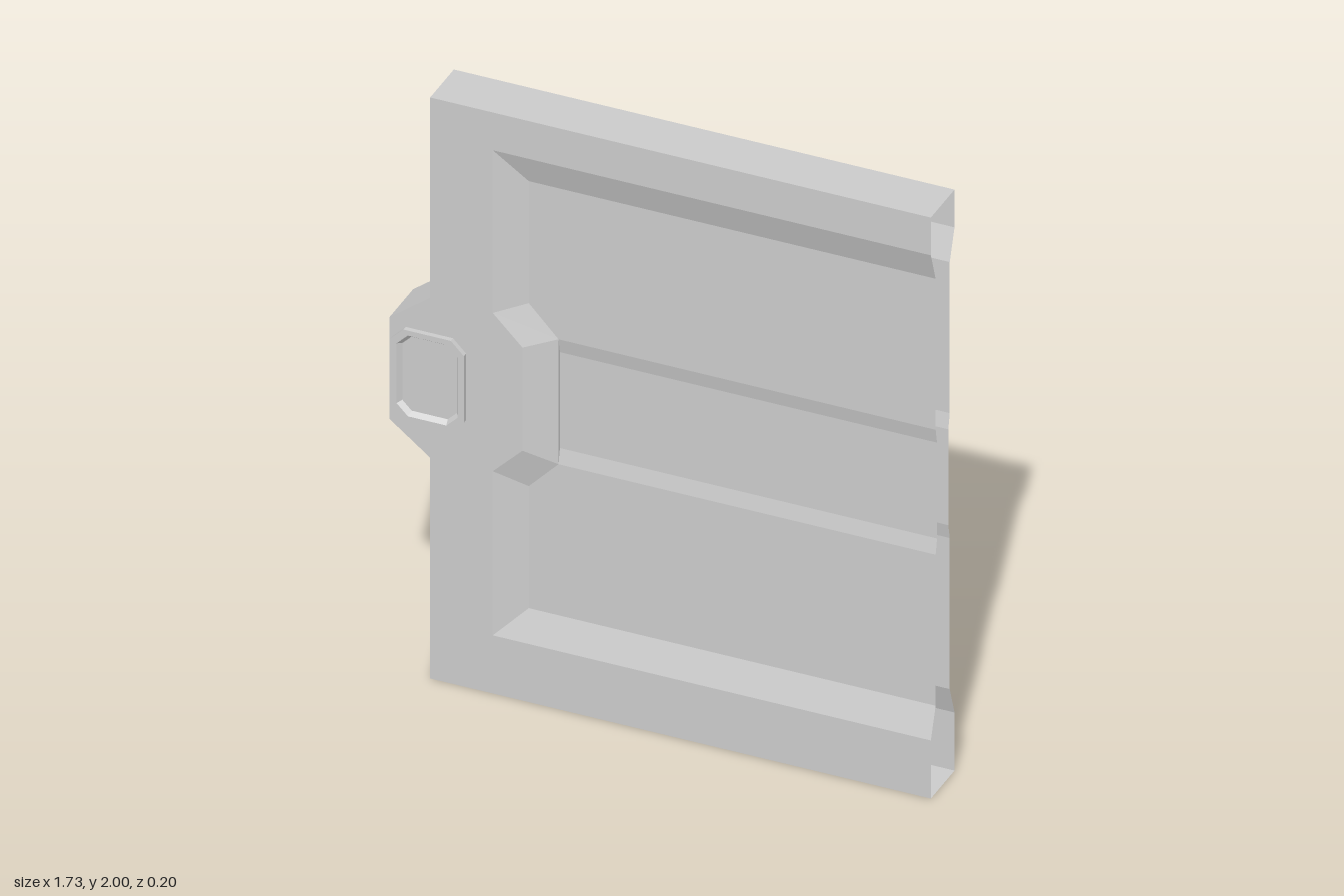
import * as THREE from 'three';

const material = new THREE.MeshStandardMaterial({ color: 0xcccccc, side: THREE.DoubleSide, flatShading: true });
const R = 0.865, OUT = 0.084, IN = 0.05, BAND = 0.04, BOSS = 0.1;

const lift = (points, z) => points.map(([x, y]) => [x, y, z]);

// Flat polygon, listed counter-clockwise as seen from +z
function fill(points, z) {
  const faces = THREE.ShapeUtils.triangulateShape(points.map(([x, y]) => new THREE.Vector2(x, y)), []);
  return faces.map((f) => f.map((i) => [...points[i], z]));
}

// Quads between two matching paths of 3D points
function strip(a, b, closed = false) {
  const tris = [];
  const n = closed ? a.length : a.length - 1;
  for (let i = 0; i < n; i++) {
    const j = (i + 1) % a.length;
    tris.push([a[i], a[j], b[j]], [a[i], b[j], b[i]]);
  }
  return tris;
}

// Mirror front triangles to the back, keeping them facing outwards
const mirror = (tris) => tris.map((t) => t.map(([x, y, z]) => [x, y, -z]).reverse());

function addMesh(group, name, tris) {
  const geometry = new THREE.BufferGeometry();
  geometry.setAttribute('position', new THREE.Float32BufferAttribute(tris.flat(2), 3));
  geometry.computeVertexNormals();
  const mesh = new THREE.Mesh(geometry, material);
  mesh.name = name;
  group.add(mesh);
}

// Rectangle with cut corners, counter-clockwise
function octagon(x0, x1, y0, y1, c) {
  return [[x0 + c, y0], [x1 - c, y0], [x1, y0 + c], [x1, y1 - c],
    [x1 - c, y1], [x0 + c, y1], [x0, y1 - c], [x0, y0 + c]];
}

export function createModel() {
  const door = new THREE.Group();
  door.name = 'doorPanel';

  // Outline with the lock tab, from the top of the open edge round to the bottom
  const outline = [[R, 2], [-0.735, 2], [-0.735, 1.31], [-R, 1.21], [-R, 0.86], [-0.735, 0.76], [-0.735, 0], [R, 0]];
  // Upper and lower edges of the sloped recess border
  const rim = [[R, 1.87], [-0.535, 1.87], [-0.535, 1.31], [-0.44, 1.215],
    [-0.44, 0.86], [-0.535, 0.765], [-0.535, 0.2], [R, 0.2]];
  const foot = [[R, 1.77], [-0.435, 1.77], [-0.435, 1.35], [-0.34, 1.25],
    [-0.34, 0.82], [-0.435, 0.72], [-0.435, 0.3], [R, 0.3]];

  const frame = strip(lift(outline, OUT), lift(rim, OUT));
  const slopes = strip(lift(rim, OUT), lift(foot, IN));
  const panels = [
    ...fill([...foot.slice(0, 4), [R, 1.25]], IN),
    ...fill([[R, 0.82], ...foot.slice(4)], IN),
  ];

  // Shallow band across the middle of the recess
  const bandTop = [[R, 1.25], [-0.34, 1.25], [-0.34, 0.82], [R, 0.82]];
  const bandFloor = [[R, 1.2], [-0.34, 1.2], [-0.34, 0.87], [R, 0.87]];
  const band = [...strip(lift(bandTop, IN), lift(bandFloor, BAND)), ...fill(bandFloor, BAND)];

  // Raised lock plate with a dished centre
  const plateEdge = octagon(-0.855, -0.62, 0.877, 1.19, 0.042);
  const dishEdge = octagon(-0.835, -0.64, 0.895, 1.173, 0.036);
  const dishFloor = octagon(-0.823, -0.648, 0.908, 1.163, 0.03);
  const plate = [
    ...strip(lift(plateEdge, OUT), lift(plateEdge, BOSS), true),
    ...strip(lift(plateEdge, BOSS), lift(dishEdge, BOSS), true),
    ...strip(lift(dishEdge, BOSS), lift(dishFloor, OUT + 0.002), true),
    ...fill(dishFloor, OUT + 0.002),
  ];

  const parts = { Frame: frame, RecessSlopes: slopes, RecessPanels: panels, MiddleBand: band, LockPlate: plate };
  for (const [name, tris] of Object.entries(parts)) {
    addMesh(door, 'front' + name, tris);
    addMesh(door, 'back' + name, mirror(tris));
  }

  // Top, hinge-side and bottom walls; the meeting edge stays open
  addMesh(door, 'edgeWalls', strip(lift(outline, -OUT), lift(outline, OUT)));
  return door;
}
